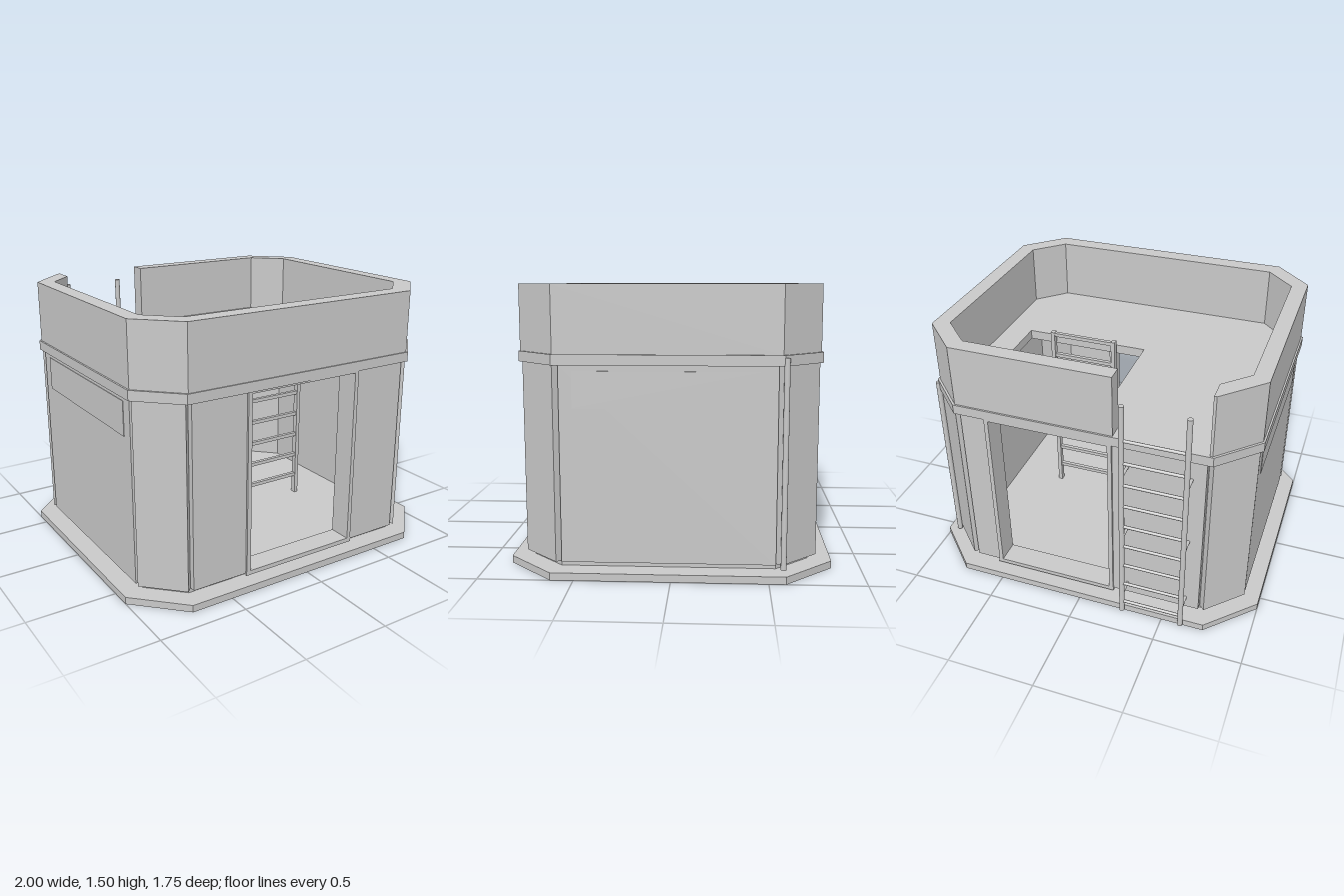
import * as THREE from 'three';

export function createModel() {
  const model = new THREE.Group();
  model.name = 'guardPost';
  const grey = new THREE.MeshStandardMaterial({ color: 0xc8c8c8 });
  grey.name = 'grey';

  const add = (name, geometry, x = 0, y = 0, z = 0, parent = model) => {
    const mesh = new THREE.Mesh(geometry, grey);
    mesh.name = name;
    mesh.position.set(x, y, z);
    parent.add(mesh);
    return mesh;
  };
  // Box given by its limits on each axis
  const block = (name, x0, x1, y0, y1, z0, z1, parent) =>
    add(name, new THREE.BoxGeometry(x1 - x0, y1 - y0, z1 - z0),
      (x0 + x1) / 2, (y0 + y1) / 2, (z0 + z1) / 2, parent);
  // Plan outline of [x, z] points raised from y0 to y1
  const toVectors = (pts) => pts.map(([x, z]) => new THREE.Vector2(x, -z));
  const raise = (name, pts, y0, y1, hole) => {
    const shape = new THREE.Shape(toVectors(pts));
    if (hole) shape.holes.push(new THREE.Path(toVectors(hole)));
    const geometry = new THREE.ExtrudeGeometry(shape, { depth: y1 - y0, bevelEnabled: false });
    geometry.rotateX(-Math.PI / 2);
    return add(name, geometry, 0, y0, 0);
  };
  // Right half of a chamfered rectangle, front to back, and its mirror, back to front
  const mirror = (pts) => pts.map(([x, z]) => [-x, z]).reverse();
  const rightSide = (h, f, b, c) => [[h - c, f], [h, f - c], [h, b + c], [h - c, b]];
  const leftSide = (...a) => mirror(rightSide(...a));
  const octagon = (...a) => [...rightSide(...a), ...leftSide(...a)];

  // Foundation and floor
  raise('foundationSlab', octagon(1, 0.877, -0.845, 0.257), 0, 0.04);
  raise('floor', octagon(0.88, 0.76, -0.72, 0.18), 0.04, 0.07);

  // Walls with recessed corners, split by the front and rear doorways
  const wallOut = [[0.692, 0.8], [0.692, 0.765], [0.885, 0.573], [0.914, 0.573],
    [0.914, -0.54], [0.885, -0.54], [0.692, -0.73], [0.692, -0.765]];
  const wallIn = [0.81, 0.69, -0.655, 0.15];
  raise('rightWall', [[0.35, 0.8], ...wallOut, [0.53, -0.765],
    [0.53, -0.655], ...rightSide(...wallIn).reverse(), [0.35, 0.69]], 0.07, 1.1);
  raise('leftWall', [[-0.17, -0.765], ...mirror(wallOut), [-0.35, 0.8],
    [-0.35, 0.69], ...leftSide(...wallIn).reverse(), [-0.17, -0.655]], 0.07, 1.1);

  for (const sx of [-1, 1]) {
    // Corner plates
    for (const z of [0.686, -0.651]) {
      const plate = add('cornerPlate', new THREE.BoxGeometry(0.275, 1.03, 0.04), sx * 0.806, 0.585, z);
      plate.rotation.y = sx * Math.sign(z) * Math.PI / 4;
    }
    // Long panel high on each side wall
    block('sidePanel', sx * 0.914 - 0.003, sx * 0.914 + 0.003, 0.88, 1.07, -0.465, 0.505);
  }

  // Door frames
  const doorFrame = (name, cx, z0, z1) => {
    const frame = new THREE.Group();
    frame.name = name;
    model.add(frame);
    for (const s of [-1, 1]) {
      block('jamb', cx + s * 0.353 - 0.012, cx + s * 0.353 + 0.012, 0.07, 1.1, z0, z1, frame);
    }
    block('lintel', cx - 0.36, cx + 0.36, 1.09, 1.1, z0, z1, frame);
    block('sill', cx - 0.368, cx + 0.368, 0.06, 0.085, z0, z1, frame);
  };
  doorFrame('frontDoorFrame', 0, 0.68, 0.812);
  doorFrame('rearDoorFrame', 0.18, -0.778, -0.645);

  // Roof with hatch, rear ceiling beam, and parapet open at the rear ladder
  const hatch = [[-0.06, 0.135], [0.68, 0.135], [0.68, -0.605], [-0.06, -0.605]];
  raise('roof', octagon(0.935, 0.817, -0.78, 0.212), 1.1, 1.155, hatch);
  block('ceilingBeam', -0.74, 0.74, 1.0, 1.1, -0.66, -0.605);
  const parapetOut = [0.925, 0.81, -0.77, 0.21];
  const parapetIn = [0.835, 0.71, -0.68, 0.16];
  raise('parapet', [
    [-0.7, -0.77], ...leftSide(...parapetOut), ...rightSide(...parapetOut), [-0.19, -0.77],
    [-0.19, -0.68], ...rightSide(...parapetIn).reverse(),
    ...leftSide(...parapetIn).slice(1).reverse(), [-0.7, -0.655],
  ], 1.155, 1.505);

  // Rear ladder on wall brackets
  const rearLadder = new THREE.Group();
  rearLadder.name = 'rearLadder';
  model.add(rearLadder);
  for (const x of [-0.615, -0.27]) {
    add('rail', new THREE.CylinderGeometry(0.015, 0.015, 1.395, 12), x, 0.7175, -0.862, rearLadder);
    for (const y of [0.14, 0.56, 0.98]) {
      const bracket = add('bracket', new THREE.CylinderGeometry(0.009, 0.009, 0.1, 8), x, y, -0.81, rearLadder);
      bracket.rotation.x = Math.PI / 2;
    }
  }
  for (let i = 0; i < 9; i++) {
    const rung = add('rung', new THREE.CylinderGeometry(0.009, 0.009, 0.345, 8),
      -0.4425, 0.09 + i * 0.14, -0.862, rearLadder);
    rung.rotation.z = Math.PI / 2;
  }

  // Inner ladder up through the hatch
  const hatchLadder = new THREE.Group();
  hatchLadder.name = 'hatchLadder';
  model.add(hatchLadder);
  for (const x of [0.118, 0.508]) block('rail', x - 0.012, x + 0.012, 0.07, 1.2, 0.075, 0.108, hatchLadder);
  for (let i = 0; i < 8; i++) {
    const y = 0.197 + i * 0.141;
    block('rung', 0.118, 0.508, y - 0.011, y + 0.011, 0.08, 0.103, hatchLadder);
  }

  // Cabinet on short feet
  const cabinet = new THREE.Group();
  cabinet.name = 'cabinet';
  model.add(cabinet);
  block('body', -0.55, -0.285, 0.11, 0.63, 0.17, 0.395, cabinet);
  for (const x of [-0.525, -0.31]) {
    for (const z of [0.2, 0.37]) block('foot', x - 0.02, x + 0.02, 0.07, 0.11, z - 0.02, z + 0.02, cabinet);
  }

  // Corner pipe
  add('cornerPipe', new THREE.CylinderGeometry(0.015, 0.015, 1.09, 12), 0.927, 0.597, -0.578);

  return model;
}
